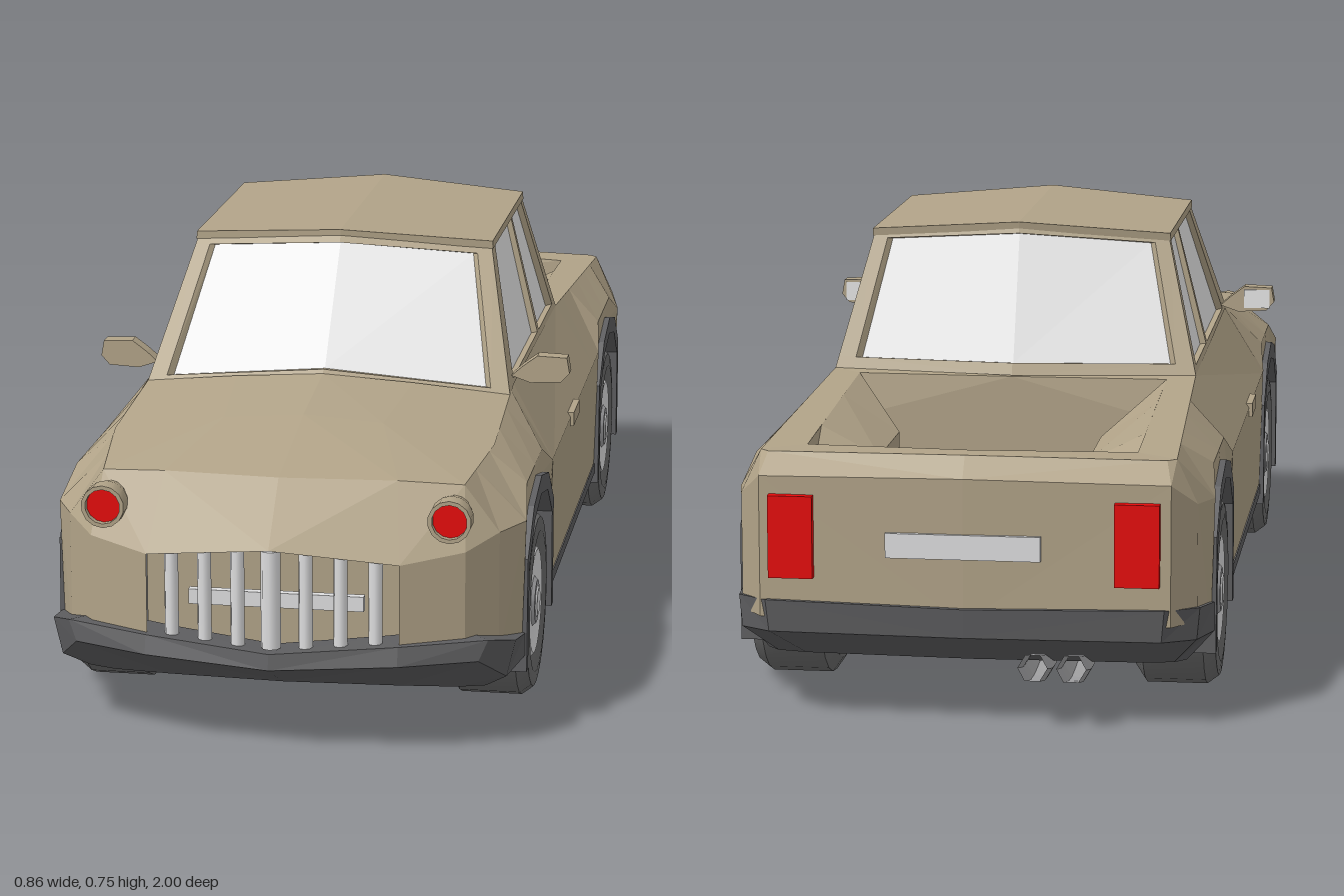
import * as THREE from 'three';
import { toCreasedNormals } from 'three/addons/utils/BufferGeometryUtils.js';

const mat = (name, color) => new THREE.MeshStandardMaterial({ name, color, side: THREE.DoubleSide });
const lerp = THREE.MathUtils.lerp;

export function createModel() {
  const truck = new THREE.Group();
  truck.name = 'pickupTruck';
  const paint = mat('tan paint', 0xb1a388);
  const trim = mat('dark trim', 0x5e5e60);
  const rubber = mat('tyre grey', 0x6c6c6c);
  const metal = mat('light metal', 0xdededf);
  const steel = mat('pipe steel', 0xa0a0a2);
  const glass = mat('window glass', 0xe8e8e8);
  const red = mat('lamp red', 0xe60a0a);

  function add(name, geo, material, x = 0, y = 0, z = 0) {
    const mesh = new THREE.Mesh(geo, material);
    mesh.name = name;
    mesh.position.set(x, y, z);
    truck.add(mesh);
    return mesh;
  }
  const box = (name, m, w, h, d, x, y, z) => add(name, new THREE.BoxGeometry(w, h, d), m, x, y, z);

  // Faceted triangles turned away from (or toward) a reference point, mirrored in x
  function quads(name, material, list, ref = [0, 0.3, 0], sign = 1) {
    const pos = [], R = new THREE.Vector3(...ref);
    const tri = (...p) => {
      const [a, b, c] = p.map(q => new THREE.Vector3(...q));
      const n = b.clone().sub(a).cross(c.clone().sub(a));
      if (n.length() < 1e-9) return;
      const mid = a.clone().add(b).add(c).divideScalar(3).sub(R);
      const t = n.dot(mid) * sign < 0 ? [a, c, b] : [a, b, c];
      for (const v of t) pos.push(v.x, v.y, v.z);
      for (const v of [t[0], t[2], t[1]]) pos.push(-v.x, v.y, v.z);
    };
    for (const [a, b, c, d] of list) { tri(a, b, c); tri(a, c, d); }
    const g = new THREE.BufferGeometry();
    g.setAttribute('position', new THREE.Float32BufferAttribute(pos, 3));
    g.computeVertexNormals();
    return add(name, g, material);
  }
  // Skin over neighbouring columns of points
  function sheet(name, material, cols, ref, sign) {
    const list = [];
    for (let i = 0; i + 1 < cols.length; i++)
      for (let j = 0; j + 1 < cols[i].length; j++)
        list.push([cols[i][j], cols[i + 1][j], cols[i + 1][j + 1], cols[i][j + 1]]);
    return quads(name, material, list, ref, sign);
  }

  // Body sides: shoulder, widest line and lower edge that follows the wheel arches
  const axles = [-0.63, 0.575];
  const archLine = [[-0.2, 0.14], [-0.195, 0.3], [-0.11, 0.37], [0, 0.395], [0.11, 0.37], [0.195, 0.3], [0.2, 0.14]];
  const shoulders = [[-0.93, 0.35, 0.455], [-0.33, 0.33, 0.487], [0.35, 0.33, 0.5], [0.4, 0.33, 0.492],
    [0.65, 0.335, 0.468], [0.85, 0.31, 0.45]];
  function shoulder(z) {
    let i = 0;
    while (i < shoulders.length - 2 && z > shoulders[i + 1][0]) i++;
    const a = shoulders[i], b = shoulders[i + 1], t = (z - a[0]) / (b[0] - a[0]);
    return [lerp(a[1], b[1], t), lerp(a[2], b[2], t), z];
  }
  const side = (z, dx, dy, ex, ey) => [shoulder(z), [dx, dy, z], [ex, ey, z]];
  const archSide = c => archLine.map(([o, y]) =>
    Math.abs(o) < 0.15 ? side(c + o, 0.396, 0.412, 0.398, y) : side(c + o, 0.406, 0.37, 0.4, y));
  sheet('bodySides', paint, [side(-0.93, 0.385, 0.38, 0.385, 0.18), ...archSide(axles[0]),
    side(-0.33, 0.406, 0.37, 0.4, 0.14), side(0.35, 0.406, 0.37, 0.4, 0.14),
    ...archSide(axles[1]), side(0.85, 0.37, 0.37, 0.37, 0.15)]);

  // Hood and nose
  sheet('hood', paint, [
    [[0, 0.53, 0.45], [0.16, 0.515, 0.43], shoulder(0.4)],
    [[0, 0.507, 0.65], [0.14, 0.497, 0.65], shoulder(0.65)],
    [[0, 0.46, 0.89], [0.2, 0.458, 0.87], shoulder(0.85)]]);
  const nose = [
    [[0.31, 0.45, 0.85], [0.37, 0.37, 0.85], [0.37, 0.15, 0.85]],
    [[0.31, 0.45, 0.85], [0.32, 0.35, 0.91], [0.32, 0.17, 0.91]],
    [[0.2, 0.458, 0.87], [0.215, 0.335, 0.955], [0.215, 0.17, 0.955]],
    [[0, 0.46, 0.89], [0, 0.36, 0.988], [0, 0.17, 0.988]]];
  sheet('noseUpper', paint, nose.map(c => c.slice(0, 2)));
  sheet('noseCorners', paint, nose.slice(0, 3).map(c => c.slice(1)));

  // Grille: recess, cross bar and upright bars
  box('grilleRecess', paint, 0.46, 0.22, 0.02, 0, 0.27, 0.87);
  box('grilleCrossBar', metal, 0.3, 0.026, 0.015, 0, 0.254, 0.915);
  for (let i = -3; i <= 3; i++) {
    const x = i * 0.058, r = i ? 0.012 : 0.017, h = 0.17 - Math.abs(i) * 0.004;
    add('grilleBar', new THREE.CylinderGeometry(r, r, h, 8), metal, x, 0.186 + h / 2, 0.968 - Math.abs(x) * 0.13);
  }

  // Bumpers: columns of top, middle and bottom points from arch to centre
  const bumper = (name, cols, back) => sheet(name, trim, cols.map(c => {
    const [x, y, z] = c[0];
    return [[x * 0.85, y, z * 0.94], ...c, [0, 0.088, back]];
  }));
  bumper('frontBumper', [
    [[0.406, 0.17, 0.775], [0.406, 0.13, 0.775], [0.36, 0.088, 0.775]],
    [[0.4, 0.185, 0.86], [0.385, 0.12, 0.86], [0.345, 0.088, 0.82]],
    [[0.36, 0.2, 0.915], [0.345, 0.165, 0.925], [0.3, 0.088, 0.835]],
    [[0.215, 0.197, 0.968], [0.215, 0.165, 0.978], [0.2, 0.088, 0.845]],
    [[0, 0.182, 0.995], [0, 0.155, 1], [0, 0.088, 0.855]]], 0.775);
  bumper('rearBumper', [
    [[0.406, 0.19, -0.83], [0.406, 0.14, -0.83], [0.36, 0.088, -0.83]],
    [[0.39, 0.205, -0.935], [0.385, 0.15, -0.935], [0.34, 0.088, -0.85]],
    [[0.335, 0.21, -0.99], [0.33, 0.155, -0.985], [0.29, 0.088, -0.86]],
    [[0, 0.205, -1], [0, 0.155, -0.995], [0, 0.088, -0.87]]], -0.83);

  // Sills and floor
  const sill = z => [[0.402, 0.142, z], [0.402, 0.12, z], [0.37, 0.088, z], [0, 0.088, z]];
  sheet('sills', trim, [sill(-0.435), sill(0.38)]);
  box('underbody', trim, 0.48, 0.17, 1.66, 0, 0.174, -0.03);

  // Tailgate and plate
  sheet('tailgate', paint, [
    [[0.35, 0.455, -0.93], [0.385, 0.38, -0.93], [0.385, 0.18, -0.93]],
    [[0.335, 0.455, -0.945], [0.345, 0.42, -0.982], [0.345, 0.18, -0.982]],
    [[0, 0.46, -0.965], [0, 0.425, -0.994], [0, 0.18, -0.99]]]);
  box('rearPlate', metal, 0.26, 0.042, 0.008, 0, 0.31, -0.994);

  // Load bed: rails, then wheel shelves, upright walls and the floor
  sheet('bedRails', paint, [
    [[0, 0.487, -0.36], [0, 0.485, -0.37]],
    [[0.33, 0.487, -0.33], [0.28, 0.484, -0.36]],
    [[0.35, 0.455, -0.93], [0.28, 0.455, -0.88]],
    [[0.335, 0.455, -0.945], [0.28, 0.455, -0.88]],
    [[0, 0.46, -0.965], [0, 0.46, -0.92]]]);
  const wall = (x, y, z, fx, fz = z) => [[x, y, z], [fx, 0.41, fz], [fx, 0.265, fz], [0, 0.265, fz]];
  sheet('bedInside', paint, [
    wall(0, 0.485, -0.37, 0), wall(0.28, 0.484, -0.36, 0.27, -0.37), wall(0.28, 0.475, -0.53, 0.18),
    wall(0.28, 0.462, -0.75, 0.18), wall(0.28, 0.455, -0.88, 0.27), wall(0, 0.46, -0.92, 0, -0.91)],
    [0, 0.5, -0.63], -1);

  // Cab walls: each panel is a grid whose chosen cells hold recessed glass
  const sink = ([x, y, z]) => [x * 0.965, y - 0.002, z * 0.965];
  function panel(name, [a, b, c, d], us, vs, glassCols) {
    const P = (u, v) => a.map((_, k) => lerp(lerp(a[k], b[k], u), lerp(d[k], c[k], u), v));
    const frame = [], panes = [];
    for (let i = 0; i + 1 < us.length; i++)
      for (let j = 0; j < 3; j++) {
        const cell = [P(us[i], vs[j]), P(us[i + 1], vs[j]), P(us[i + 1], vs[j + 1]), P(us[i], vs[j + 1])];
        if (j !== 1 || !glassCols.includes(i)) { frame.push(cell); continue; }
        panes.push(cell.map(sink));
        cell.forEach((p, k) => {
          const q = cell[(k + 1) % 4];
          if (p[0] || q[0]) frame.push([p, q, sink(q), sink(p)]);
        });
      }
    quads(name + 'Frame', paint, frame);
    quads(name + 'Glass', glass, panes);
  }
  const beltF = [0.33, 0.492, 0.4], beltR = [0.33, 0.487, -0.33];
  const roofF = [0.27, 0.73, 0.21], roofR = [0.27, 0.73, -0.23];
  panel('windshield', [[0, 0.53, 0.45], beltF, roofF, [0, 0.75, 0.25]], [0, 0.9, 1], [0, 0.03, 0.91, 1], [0]);
  panel('sideWindow', [beltF, beltR, roofR, roofF], [0, 0.09, 0.61, 0.64, 0.95, 1], [0, 0.05, 0.95, 1], [1, 3]);
  panel('rearWindow', [[0, 0.487, -0.37], beltR, roofR, [0, 0.75, -0.26]], [0, 0.9, 1], [0, 0.08, 0.93, 1], [0]);
  sheet('roof', paint, [
    [[0, 0.738, 0.258], [0.275, 0.718, 0.22], [0.275, 0.718, 0.22]],
    [[0, 0.752, 0.258], [0.274, 0.732, 0.22], [0.275, 0.718, 0.22]],
    [[0, 0.752, -0.266], [0.274, 0.732, -0.238], [0.275, 0.718, -0.236]],
    [[0, 0.738, -0.264], [0.275, 0.718, -0.236], [0.275, 0.718, -0.236]]]);

  const lathe = (pts, n) => toCreasedNormals(
    new THREE.LatheGeometry(pts.map(p => new THREE.Vector2(...p)), n), 0.5);
  const extrude = (pts, depth) => new THREE.ExtrudeGeometry(
    new THREE.Shape(pts.map(p => new THREE.Vector2(...p))), { depth, bevelEnabled: false });

  for (const s of [1, -1]) {
    // Wheels: tyre, rim, hub ring and hub cap
    for (const z of axles) {
      const parts = [
        ['tyre', rubber, [[0, -0.07], [0.14, -0.072], [0.165, -0.055], [0.165, 0.05], [0.15, 0.07], [0.125, 0.072],
          [0.098, 0.062], [0, 0.04]]],
        ['rim', metal, [[0.099, 0.062], [0.092, 0.068], [0.07, 0.064], [0.044, 0.064]]],
        ['hubRing', steel, [[0.044, 0.064], [0.038, 0.07], [0.028, 0.07]]],
        ['hubCap', metal, [[0.028, 0.07], [0.024, 0.073], [0, 0.073]]]];
      for (const [name, m, pts] of parts)
        add(name, lathe(pts, 24).rotateZ(-s * Math.PI / 2), m, s * 0.333, 0.165, z);

      // Wheel arch liner and the well wall behind the wheel
      const outer = archLine.map(([o, y]) => [o, y === 0.14 ? 0.1 : y]);
      const inner = [[0.178, 0.1], [0.172, 0.28], [0.097, 0.342], [0, 0.362], [-0.097, 0.342], [-0.172, 0.28], [-0.178, 0.1]];
      const liner = extrude([...outer, ...inner], 0.165).rotateY(-Math.PI / 2);
      add('wheelArch', liner, trim, s > 0 ? 0.409 : -0.244, 0, z);
      add('wheelWell', extrude(outer, 0.006).rotateY(-Math.PI / 2), trim, s > 0 ? 0.25 : -0.244, 0, z);
    }

    // Headlamp pods
    const pod = [[0, -0.07], [0.025, -0.06], [0.037, -0.01], [0.037, 0.024], [0.03, 0.024], [0.03, 0.008]];
    add('headlampPod', lathe(pod, 14).rotateX(Math.PI / 2), paint, s * 0.295, 0.406, 0.905);
    add('headlampLens', new THREE.CircleGeometry(0.031, 14), red, s * 0.295, 0.406, 0.917);

    // Tail lamps, door handles and mirrors
    box('tailLamp', red, 0.075, 0.14, 0.03, s * 0.29, 0.32, -0.985);
    box('doorHandle', paint, 0.02, 0.026, 0.1, s * 0.402, 0.366, 0.03);
    const m = [[0.325, 0.512], [0.36, 0.5], [0.415, 0.503], [0.43, 0.52], [0.425, 0.548], [0.372, 0.55], [0.345, 0.53]];
    add('mirror', extrude(m.map(([x, y]) => [s * x, y]), 0.03), paint, 0, 0, 0.31);
    box('mirrorGlass', glass, 0.05, 0.036, 0.004, s * 0.396, 0.526, 0.309);
  }

  // Twin exhaust pipes
  for (const x of [-0.18, -0.115]) {
    const path = new THREE.CatmullRomCurve3([[-0.74, 0.09], [-0.8, 0.084], [-0.89, 0.084], [-0.985, 0.105]]
      .map(([z, y]) => new THREE.Vector3(x, y, z)));
    const pipe = new THREE.TubeGeometry(path, 6, 0.025, 6).toNonIndexed();
    pipe.computeVertexNormals();
    add('exhaustPipe', pipe, steel);
  }
  return truck;
}
